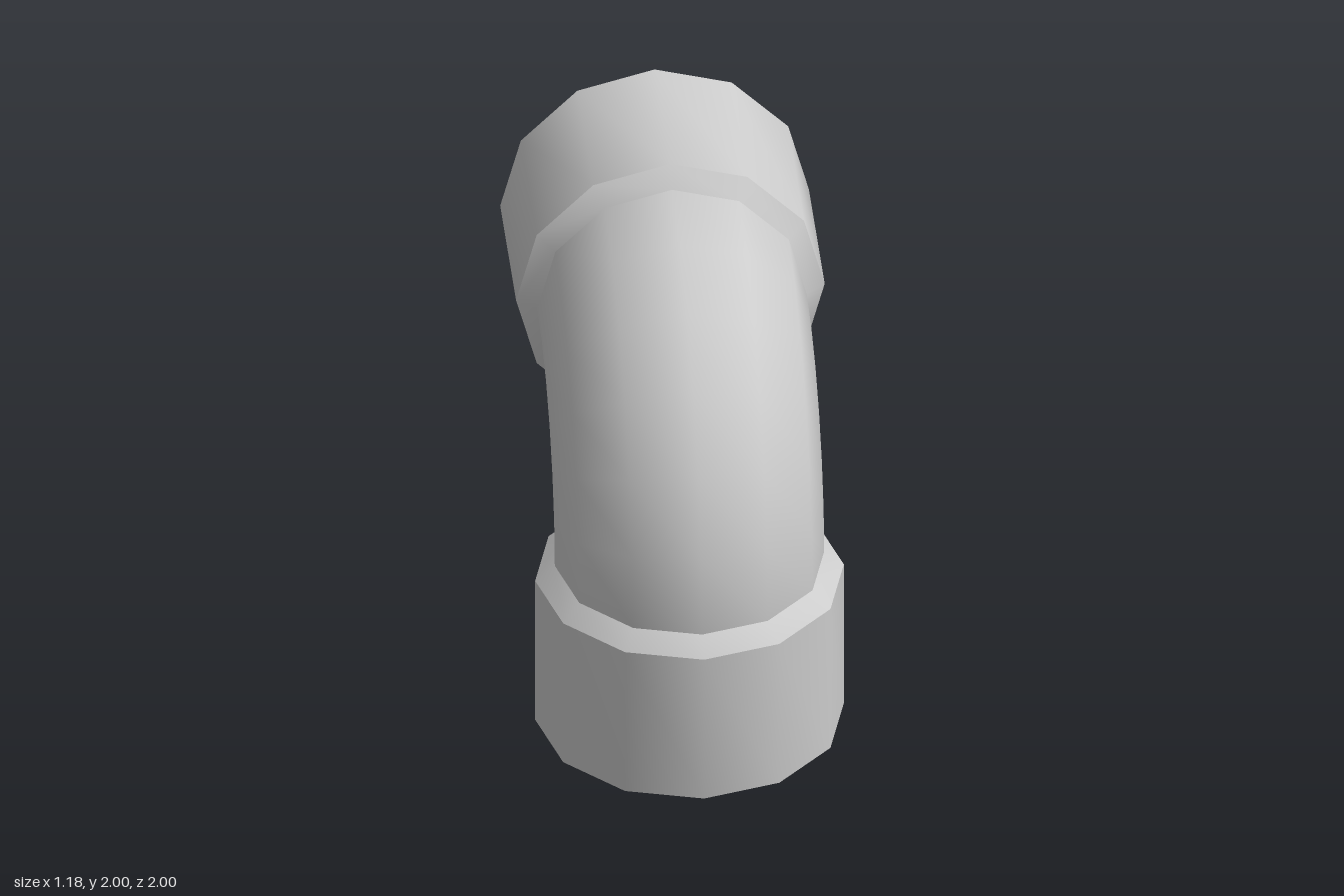
import * as THREE from 'three';
import { toCreasedNormals } from 'three/addons/utils/BufferGeometryUtils.js';

const SIDES = 12;
const PIPE_R = 0.515;    // bend tube radius
const SOCKET_R = 0.59;   // outer radius of the sockets
const BORE_R = 0.522;    // inner radius of the sockets
const LENGTH = 0.705;    // socket length including the bevel
const BEND_R = 0.705;    // centreline radius of the bend

export function createModel() {
  const group = new THREE.Group();
  group.name = 'pipeElbow';
  const material = new THREE.MeshStandardMaterial({ color: 0xcccccc, side: THREE.DoubleSide });

  // Hollow socket: bore, flat rim, outer wall, bevel down to the pipe
  const profile = [
    [PIPE_R, LENGTH], [BORE_R, 0.64], [BORE_R, 0],
    [SOCKET_R, 0], [SOCKET_R, 0.64], [PIPE_R, LENGTH],
  ].map(([r, y]) => new THREE.Vector2(r, y));
  const socket = toCreasedNormals(new THREE.LatheGeometry(profile, SIDES), 0.6);

  const lower = new THREE.Mesh(socket, material);
  lower.name = 'lowerSocket';
  lower.position.z = 1 - SOCKET_R;

  const rear = new THREE.Mesh(socket, material);
  rear.name = 'rearSocket';
  rear.rotation.x = Math.PI / 2;
  rear.position.set(0, 2 - SOCKET_R, -1);

  // Quarter-turn tube joining the two sockets
  const bendGeometry = new THREE.TorusGeometry(BEND_R, PIPE_R, SIDES, 6, Math.PI / 2);
  bendGeometry.rotateY(-Math.PI / 2);
  const bend = new THREE.Mesh(bendGeometry, material);
  bend.name = 'bend';
  bend.position.set(0, LENGTH, LENGTH - 1);

  group.add(lower, bend, rear);
  return group;
}
